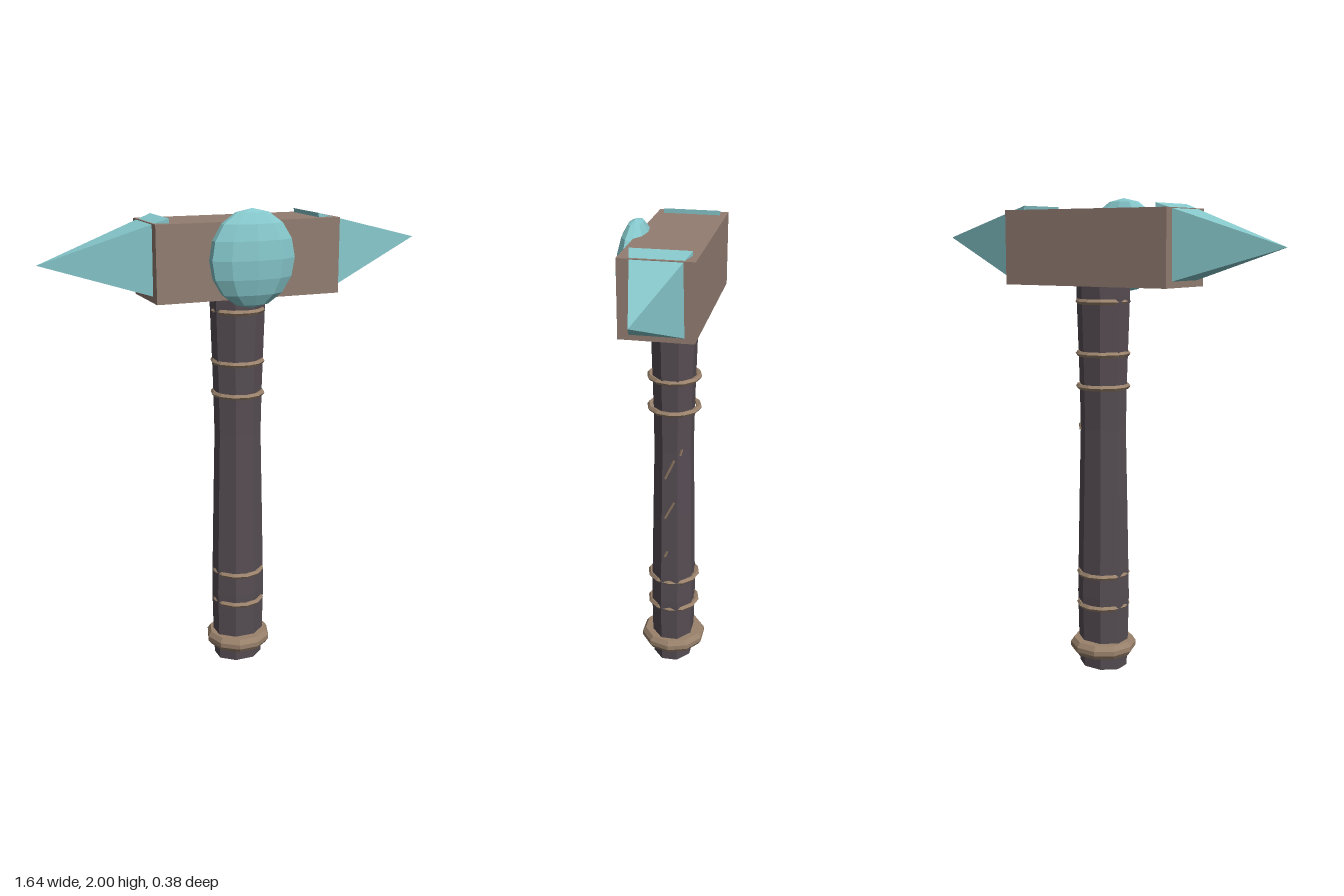
import * as THREE from 'three';

const flat = (name, color) => {
  const m = new THREE.MeshStandardMaterial({ color, flatShading: true });
  m.name = name;
  return m;
};

export function createModel() {
  const group = new THREE.Group();
  group.name = 'warHammer';
  const teal = flat('teal crystal', 0x86c8cc);
  const brown = flat('brown head', 0x927d71);
  const dark = flat('dark grip', 0x564d53);
  const tan = flat('tan binding', 0x9a826c);
  const Z = -0.04; // depth of the shaft axis

  const add = (name, geometry, material, x = 0, y = 0, z = 0) => {
    const mesh = new THREE.Mesh(geometry, material);
    mesh.name = name;
    mesh.position.set(x, y, z);
    group.add(mesh);
    return mesh;
  };
  const lathe = (points, sides) =>
    new THREE.LatheGeometry(points.map(([r, y]) => new THREE.Vector2(r, y)), sides, Math.PI / sides);

  // Eight-sided handle, slightly waisted and flattened in depth
  const shaft = add('handle', lathe([
    [0, 0], [0.107, 0], [0.112, 0.1], [0.117, 0.32], [0.108, 0.75],
    [0.101, 1.05], [0.105, 1.25], [0.117, 1.6], [0.117, 1.7], [0, 1.7],
  ], 8), dark, 0, 0, Z);
  shaft.scale.z = 0.83;

  // Cord rings and the heavy pommel ring
  for (const y of [0.278, 0.418, 1.228, 1.365, 1.58]) {
    const ring = new THREE.TorusGeometry(0.103, 0.012, 5, 12).rotateX(Math.PI / 2);
    add('cordRing', ring, tan, 0, y, Z);
  }
  add('pommelRing', lathe([
    [0.09, 0.06], [0.128, 0.06], [0.142, 0.08], [0.142, 0.1], [0.128, 0.12], [0.09, 0.12],
  ], 10), tan, 0, 0, Z);

  // Short slanted cord traces on the left face of the handle
  const traces = [
    [[0.098, 0.93, -0.02], [0.096, 1.02, -0.06]],
    [[0.1, 0.74, -0.02], [0.098, 0.82, -0.06]],
    [[0.104, 0.55, -0.02], [0.104, 0.58, -0.032]],
    [[0.088, 1.04, -0.082], [0.086, 1.07, -0.09]],
  ];
  for (const [a, b] of traces) {
    const path = new THREE.LineCurve3(new THREE.Vector3(...a), new THREE.Vector3(...b));
    add('cordTrace', new THREE.TubeGeometry(path, 1, 0.005, 4), tan);
  }

  // Block head
  add('head', new THREE.BoxGeometry(0.78, 0.305, 0.29), brown, 0, 1.797, -0.045);

  // Pyramid spikes: tip, then upper and lower base edges as [x, y, half depth]
  const spike = (name, tip, top, bottom) => {
    const corner = ([x, y, h], s) => [x, y, -0.047 + s * h];
    const base = [corner(top, 1), corner(bottom, 1), corner(bottom, -1), corner(top, -1)];
    const apex = [tip[0], tip[1], -0.045];
    const pos = [];
    const tri = (a, b, c) => (tip[0] > 0 ? pos.push(...a, ...b, ...c) : pos.push(...a, ...c, ...b));
    for (let i = 0; i < 4; i++) tri(base[i], base[(i + 1) % 4], apex);
    tri(base[0], base[2], base[1]);
    tri(base[0], base[3], base[2]);
    const g = new THREE.BufferGeometry();
    g.setAttribute('position', new THREE.Float32BufferAttribute(pos, 3));
    g.computeVertexNormals();
    add(name, g, teal);
  };
  spike('leftSpike', [0.82, 1.84], [0.307, 1.967, 0.118], [0.36, 1.653, 0.112]);
  spike('rightSpike', [-0.82, 1.8], [-0.326, 1.968, 0.118], [-0.33, 1.652, 0.112]);

  // Faceted gem on the front of the head
  const gem = new THREE.SphereGeometry(1, 10, 8).rotateY(Math.PI / 10).scale(0.184, 0.195, 0.073);
  add('gem', gem, teal, 0, 1.805, 0.114);

  return group;
}
